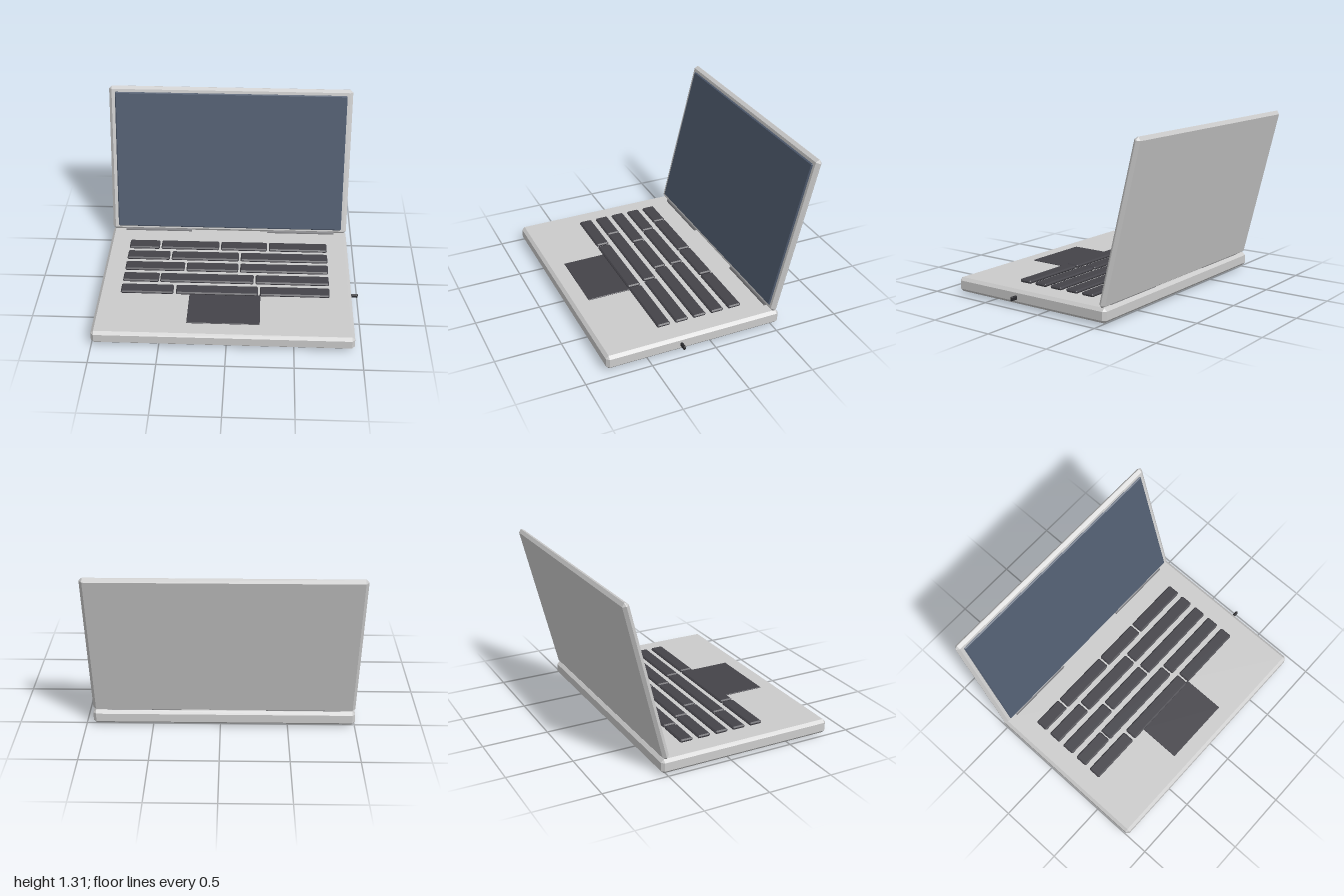
import * as THREE from 'three';
import { ConvexGeometry } from 'three/addons/geometries/ConvexGeometry.js';

const body = new THREE.MeshStandardMaterial({ color: 0xcccccc });
const dark = new THREE.MeshStandardMaterial({ color: 0x444349 });
const rubber = new THREE.MeshStandardMaterial({ color: 0x2b2b2f });
const glass = new THREE.MeshStandardMaterial({ color: 0x4f5b6e });
const hingeGrey = new THREE.MeshStandardMaterial({ color: 0x77777a });

// Box given by its ranges, with every edge and corner cut by c
function chamferBox(name, material, [x0, x1], [y0, y1], [z0, z1], c) {
  const h = [(x1 - x0) / 2, (y1 - y0) / 2, (z1 - z0) / 2];
  const points = [];
  for (const sx of [-1, 1]) for (const sy of [-1, 1]) for (const sz of [-1, 1]) {
    for (let axis = 0; axis < 3; axis++) {
      const p = h.map((v, i) => (i === axis ? v : v - c));
      points.push(new THREE.Vector3(sx * p[0], sy * p[1], sz * p[2]));
    }
  }
  const mesh = new THREE.Mesh(new ConvexGeometry(points), material);
  mesh.position.set((x0 + x1) / 2, (y0 + y1) / 2, (z0 + z1) / 2);
  mesh.name = name;
  return mesh;
}

export function createModel() {
  const model = new THREE.Group();
  model.name = 'laptop';

  // Base
  model.add(chamferBox('base', body, [-1, 0.945], [0.02, 0.128], [-0.548, 0.82], 0.022));

  // Keys: each row lists the x range of its keys
  const keyboard = new THREE.Group();
  keyboard.name = 'keyboard';
  const rows = [
    [[-0.83, -0.585], [-0.57, -0.1], [-0.085, 0.29], [0.305, 0.775]],
    [[-0.83, -0.49], [-0.475, 0.065], [0.08, 0.775]],
    [[-0.83, -0.36], [-0.345, 0.065], [0.08, 0.775]],
    [[-0.83, -0.55], [-0.54, 0.19], [0.205, 0.775]],
    [[-0.83, -0.425], [-0.405, 0.225], [0.24, 0.775]],
  ];
  rows.forEach((row, i) => {
    const z = -0.316 + i * 0.1435;
    for (const span of row) {
      keyboard.add(chamferBox('key', dark, span, [0.127, 0.152], [z, z + 0.102], 0.009));
    }
  });
  model.add(keyboard);

  // Trackpad
  model.add(chamferBox('trackpad', dark, [-0.3, 0.245], [0.122, 0.134], [0.348, 0.686], 0.003));

  // Feet
  for (const x of [-0.865, 0.65]) {
    for (const z of [-0.418, 0.63]) {
      model.add(chamferBox('foot', rubber, [x, x + 0.16], [0, 0.022], [z, z + 0.064], 0.005));
    }
  }

  // Side plug
  model.add(chamferBox('sidePlug', rubber, [0.935, 1], [0.055, 0.086], [0.238, 0.258], 0.006));

  // Hinge barrels
  for (const x of [-0.615, 0.565]) {
    const hinge = new THREE.Mesh(new THREE.CylinderGeometry(0.022, 0.022, 0.55, 12), hingeGrey);
    hinge.rotation.z = Math.PI / 2;
    hinge.position.set(x, 0.128, -0.499);
    hinge.name = 'hinge';
    model.add(hinge);
  }

  // Lid and screen, leaning back
  const lid = new THREE.Group();
  lid.name = 'lid';
  lid.rotation.x = THREE.MathUtils.degToRad(-14);
  lid.add(chamferBox('lidShell', body, [-1, 0.945], [0.243, 1.467], [-0.484, -0.435], 0.022));
  lid.add(chamferBox('screen', glass, [-0.952, 0.9], [0.278, 1.422], [-0.445, -0.425], 0.008));
  model.add(lid);

  return model;
}
